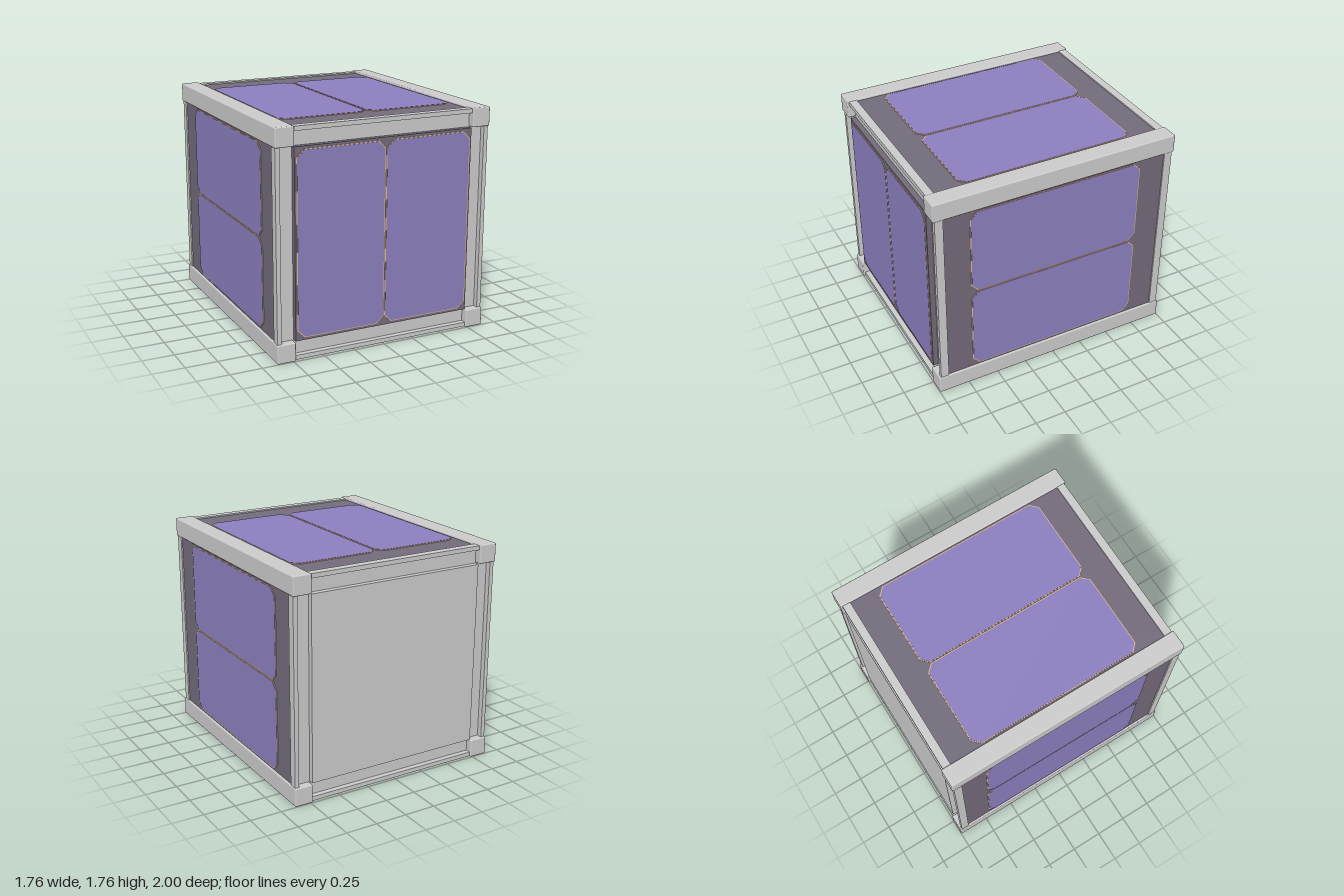
import * as THREE from 'three';
import { RoundedBoxGeometry } from 'three/addons/geometries/RoundedBoxGeometry.js';

const W = 0.88, CY = 0.88, D = 1, RAIL = 0.148;

const material = (color) => new THREE.MeshStandardMaterial({ color });

export function createModel() {
  const model = new THREE.Group();
  const grey = material(0xcccccc);
  const plateDark = material(0x736b7a);
  const cellPurple = material(0x8c7fbf);
  const trimGold = material(0xe0b887);

  const add = (parent, name, geometry, mat, x = 0, y = 0, z = 0) => {
    const mesh = new THREE.Mesh(geometry, mat);
    mesh.name = name;
    mesh.position.set(x, y, z);
    parent.add(mesh);
    return mesh;
  };
  const box = (parent, name, mat, w, h, d, x, y, z) =>
    add(parent, name, new THREE.BoxGeometry(w, h, d), mat, x, y, z);

  // Rectangle with cut corners, given thickness
  const cutPlate = (w, h, cut, depth) => {
    const a = w / 2, b = h / 2;
    const shape = new THREE.Shape([
      [-a + cut, -b], [a - cut, -b], [a, -b + cut], [a, b - cut],
      [a - cut, b], [-a + cut, b], [-a, b - cut], [-a, -b + cut],
    ].map(([x, y]) => new THREE.Vector2(x, y)));
    return new THREE.ExtrudeGeometry(shape, { depth, bevelEnabled: false });
  };

  // Plate facing local +z with its outer surface at z = 0, carrying two solar cells
  const panel = (name, w, h, cellW, cellH, stepX, stepY) => {
    const group = new THREE.Group();
    group.name = name;
    box(group, 'backingPlate', plateDark, w, h, 0.05, 0, 0, -0.025);
    for (const s of [-1, 1]) {
      add(group, 'cellTrim', cutPlate(cellW, cellH, 0.058, 0.004), trimGold, s * stepX, s * stepY, 0);
      add(group, 'solarCell', cutPlate(cellW - 0.012, cellH - 0.012, 0.055, 0.006), cellPurple, s * stepX, s * stepY, 0);
    }
    model.add(group);
    return group;
  };

  // Four corner rails running front to back
  for (const sx of [-1, 1]) for (const sy of [-1, 1]) {
    add(model, 'cornerRail', new RoundedBoxGeometry(RAIL, RAIL, 2 * D, 2, 0.01), grey,
      sx * (W - RAIL / 2), CY + sy * (CY - RAIL / 2), 0);
  }

  // Angle-section frames joining the rails at the front and back
  const span = 2 * (W - RAIL), out = 0.874, lip = out - 0.84;
  for (const sz of [-1, 1]) {
    const frame = new THREE.Group();
    frame.name = sz > 0 ? 'frontFrame' : 'backFrame';
    for (const s of [-1, 1]) {
      box(frame, 'postLip', grey, lip, span, 0.065, s * (out - lip / 2), CY, sz * 0.9525);
      box(frame, 'postWeb', grey, 0.13, span, 0.022, s * 0.776, CY, sz * 0.931);
      box(frame, 'beamLip', grey, span, lip, 0.065, 0, CY + s * (out - lip / 2), sz * 0.9525);
      box(frame, 'beamWeb', grey, span, 0.13, 0.022, 0, CY + s * 0.776, sz * 0.931);
    }
    model.add(frame);
  }

  // Front solar panel and plain back cover
  panel('frontPanel', 1.456, 1.456, 0.712, 1.415, 0.359, 0).position.set(0, CY, 0.985);
  box(model, 'backCover', grey, 1.456, 1.456, 0.06, 0, CY, -0.955);

  // Side, top and bottom solar panels, set just inside the rails
  const inset = 0.864;
  for (const s of [-1, 1]) {
    const side = panel(s > 0 ? 'leftPanel' : 'rightPanel', 1.84, 1.5, 1.42, 0.715, 0, 0.36);
    side.rotation.y = s * Math.PI / 2;
    side.position.set(s * inset, CY, 0);

    const deck = panel(s > 0 ? 'topPanel' : 'bottomPanel', 1.5, 1.84, 0.716, 1.42, 0.361, 0);
    deck.rotation.x = -s * Math.PI / 2;
    deck.position.set(0, CY + s * inset, 0);
  }

  return model;
}
